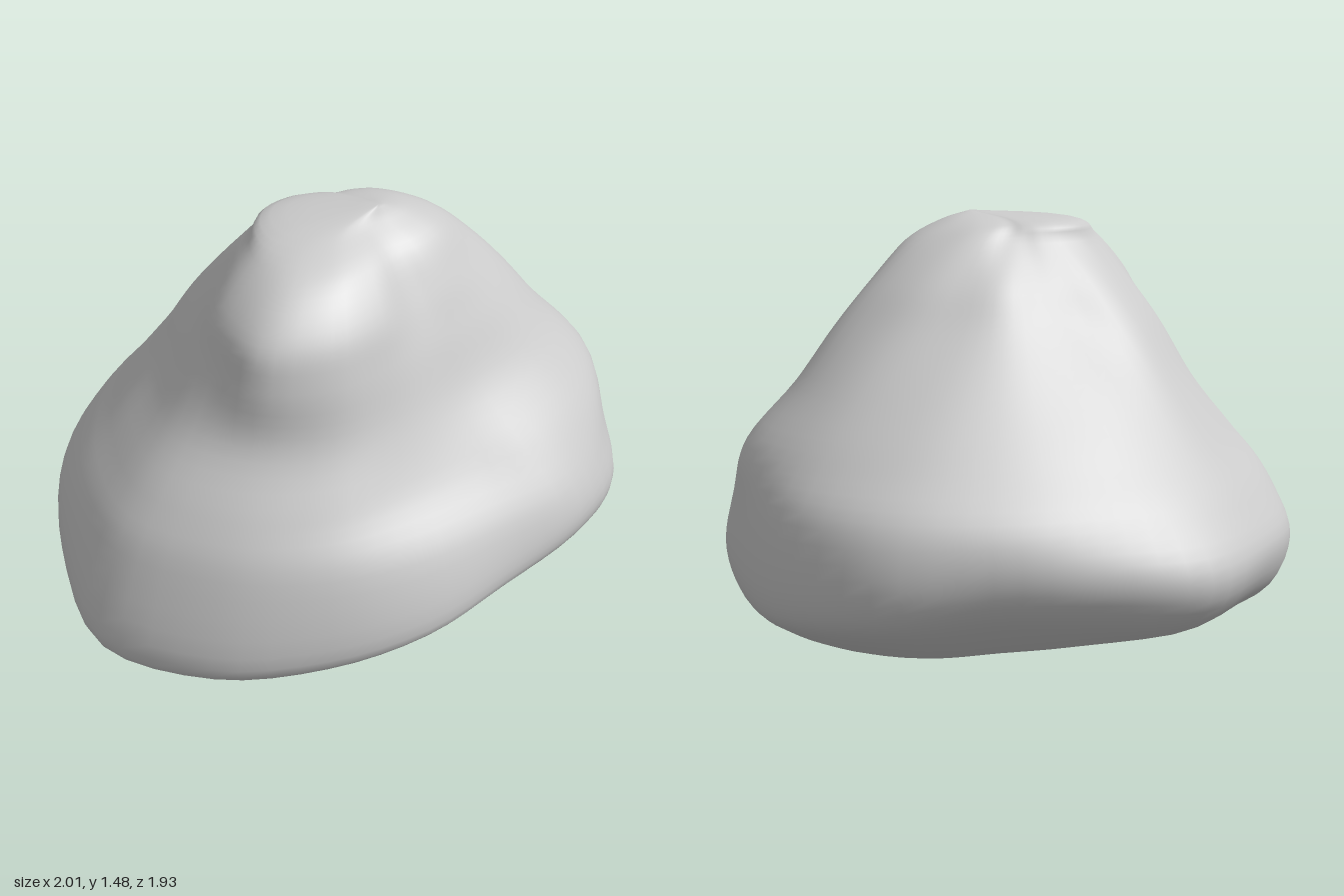
import * as THREE from 'three';
import { mergeVertices } from 'three/addons/utils/BufferGeometryUtils.js';

// Radii of each cross-section, every 22.5 degrees from +x towards +z
const rim = [1, .93, .85, .88, .93, 1.03, 1.12, 1.04, 1, .98, 1, .94, .94, 1.03, 1.05, 1.01];
// Heights of the rim and of two underside rings inside it
const rimHeight = [.33, .37, .33, .28, .23, .2, .21, .27, .33, .35, .33, .35, .35, .29, .24, .27];
const outerBase = [.19, .27, .25, .21, .15, .11, .09, .1, .13, .17, .16, .19, .2, .15, .12, .14];
const innerBase = [.07, .12, .12, .1, .07, .06, .05, .05, .06, .06, .06, .05, .04, .02, .01, .03];
const upper = [
  [.52, [.96, .91, .8, .81, .87, .95, 1.02, .97, .92, .9, .89, .88, .92, 1, 1.02, .99]],
  [.7, [.89, .78, .66, .67, .76, .85, .9, .83, .78, .76, .73, .73, .77, .85, .92, .95]],
  [.9, [.71, .59, .53, .56, .64, .7, .73, .66, .64, .61, .56, .55, .59, .66, .75, .78]],
  [1.1, [.57, .48, .44, .49, .59, .66, .61, .54, .52, .46, .38, .38, .42, .47, .57, .63]],
  [1.25, [.46, .4, .36, .43, .53, .61, .54, .44, .4, .34, .28, .27, .31, .35, .44, .5]],
  [1.38, [.36, .31, .27, .31, .39, .45, .4, .33, .28, .22, .18, .16, .17, .22, .29, .36]],
  [1.45, [.24, .2, .16, .17, .2, .23, .25, .24, .21, .16, .12, .1, .09, .12, .17, .22]],
];

const polar = (r, j, y) => {
  const a = (j / 16) * Math.PI * 2;
  return new THREE.Vector3(r * Math.cos(a), y, r * Math.sin(a));
};

export function createModel() {
  const levels = 55, around = 64;

  // Profile curves running from the underside over the rim to the summit
  const profiles = rim.map((r, j) => new THREE.CatmullRomCurve3([
    new THREE.Vector3(0.12, 0, -0.2),
    polar(r * 0.6, j, innerBase[j]),
    polar(r * 0.9, j, outerBase[j]),
    polar(r, j, rimHeight[j]),
    ...upper.map(([y, radii]) => polar(radii[j], j, y)),
    new THREE.Vector3(0.14, 1.48, 0.03),
  ], false, 'catmullrom', 0.5));

  // Smooth closed rings through the profiles
  const positions = [], index = [];
  for (let i = 0; i <= levels; i++) {
    const ring = new THREE.CatmullRomCurve3(
      profiles.map((p) => p.getPoint(i / levels)), true, 'catmullrom', 0.5);
    for (let k = 0; k < around; k++) {
      const p = ring.getPoint(k / around);
      positions.push(p.x, Math.max(0, p.y), p.z);
    }
  }

  // Skin between neighbouring rings; the two end rings are single points
  for (let i = 0; i < levels; i++) {
    for (let k = 0; k < around; k++) {
      const a = i * around + k, b = i * around + (k + 1) % around;
      const c = a + around, d = b + around;
      if (i > 0) index.push(a, c, b);
      if (i < levels - 1) index.push(b, c, d);
    }
  }

  let geometry = new THREE.BufferGeometry();
  geometry.setAttribute('position', new THREE.Float32BufferAttribute(positions, 3));
  geometry.setIndex(index);
  geometry = mergeVertices(geometry, 1e-5);
  geometry.computeVertexNormals();

  const boulder = new THREE.Mesh(geometry, new THREE.MeshStandardMaterial({ color: 0xcccccc }));
  boulder.name = 'boulder';

  const group = new THREE.Group();
  group.name = 'rock';
  group.add(boulder);
  return group;
}
